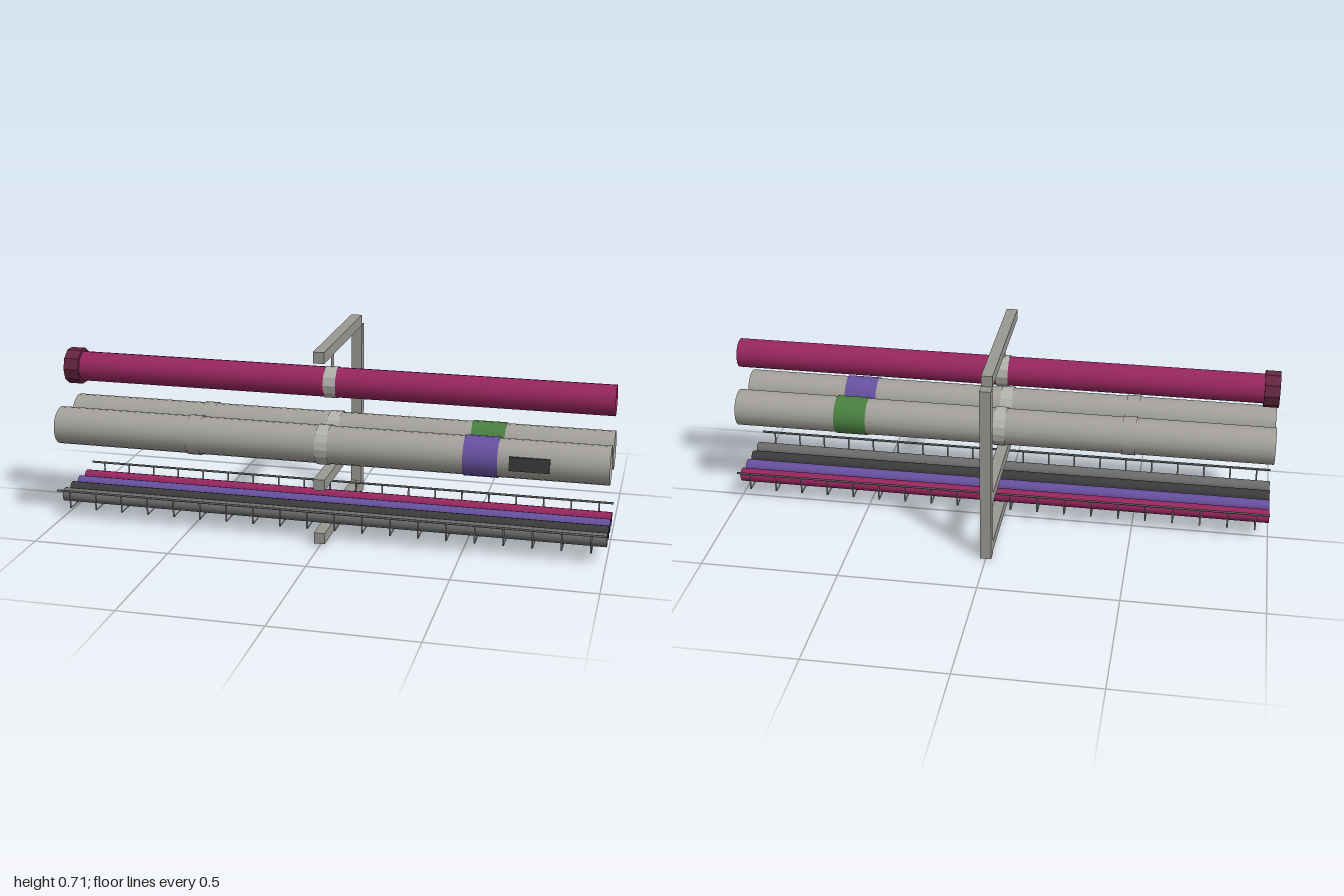
import * as THREE from 'three';

const mat = (name, color, extra = {}) => {
  const m = new THREE.MeshStandardMaterial({ color, side: THREE.DoubleSide, ...extra });
  m.name = name;
  return m;
};

export function createModel() {
  const root = new THREE.Group();
  root.name = 'pipeRack';

  const frameGrey = mat('frame grey', 0x9b9993);
  const pipeGrey = mat('pipe grey', 0xa3a19a);
  const strapGrey = mat('strap grey', 0xb4b2ad, { flatShading: true });
  const crimson = mat('crimson', 0x97265e);
  const maroon = mat('maroon', 0x652640, { flatShading: true });
  const purple = mat('purple', 0x6751a0);
  const green = mat('green', 0x4a8040);
  const charcoal = mat('charcoal', 0x3c3c3c);
  const wireGrey = mat('wire grey', 0x6c6c6c);

  const add = (name, geometry, material, x, y, z, parent = root) => {
    const mesh = new THREE.Mesh(geometry, material);
    mesh.name = name;
    mesh.position.set(x, y, z);
    parent.add(mesh);
    return mesh;
  };
  const box = (name, w, h, d, material, x, y, z) =>
    add(name, new THREE.BoxGeometry(w, h, d), material, x, y, z);
  // Open sleeve lying along x
  const sleeve = (name, r, length, material, x, y, z, sides = 20, open = true) =>
    add(name, new THREE.CylinderGeometry(r, r, length, sides, 1, open).rotateZ(Math.PI / 2), material, x, y, z);

  // Rack: one post and three arms
  box('post', 0.04, 0.67, 0.04, frameGrey, 0, 0.335, -0.29);
  [['lowerArm', 0.03], ['middleArm', 0.23], ['upperArm', 0.69]].forEach(([name, y]) =>
    box(name, 0.04, 0.04, 0.58, frameGrey, 0, y, 0.02));

  // Hanging crimson pipe with end cap, strap and rod
  const top = { y: 0.551, z: 0.11 };
  sleeve('crimsonPipe', 0.054, 2, crimson, 0, top.y, top.z);
  sleeve('endCap', 0.0665, 0.055, maroon, -0.9725, top.y, top.z, 10, false);
  sleeve('hangerStrap', 0.058, 0.045, strapGrey, 0, top.y, top.z, 12);
  add('hangerRod', new THREE.CylinderGeometry(0.006, 0.006, 0.066, 8), frameGrey, 0, 0.638, top.z);

  // Pair of large grey pipes, each with strap, coupling and colour band
  [['front', 0.222, purple], ['back', 0.049, green]].forEach(([side, z, color]) => {
    sleeve(side + 'Pipe', 0.068, 2, pipeGrey, 0, 0.353, z);
    sleeve(side + 'Strap', 0.072, 0.045, strapGrey, 0, 0.353, z, 16);
    sleeve(side + 'Coupling', 0.0715, 0.05, pipeGrey, -0.475, 0.353, z);
    sleeve(side + 'Band', 0.071, 0.12, color, 0.56, 0.353, z);
  });
  box('labelPlate', 0.14, 0.05, 0.006, charcoal, 0.73, 0.355, 0.289);

  // Four cables lying in the tray
  [['crimson', crimson], ['purple', purple], ['charcoal', charcoal], ['grey', wireGrey]].forEach(([name, m], i) =>
    sleeve(name + 'Cable', 0.025, 2, m, 0, 0.082, 0.01 + i * 0.07, 12));

  // Wire tray: two rails joined by thin U-shaped strips
  const tray = new THREE.Group();
  tray.name = 'wireTray';
  root.add(tray);
  const zBack = -0.05, zFront = 0.29, yTop = 0.12, yLow = 0.055, w = 0.006;
  for (const z of [zBack, zFront]) {
    add('trayRail', new THREE.CylinderGeometry(0.004, 0.004, 2, 6, 1, true).rotateZ(Math.PI / 2),
      wireGrey, 0, yTop, z, tray);
  }
  const sideGeo = new THREE.PlaneGeometry(w, yTop - yLow);
  const floorGeo = new THREE.PlaneGeometry(w, zFront - zBack).rotateX(-Math.PI / 2);
  for (let i = 0; i < 20; i++) {
    const x = -0.95 + i * 0.1;
    add('trayRungFloor', floorGeo, wireGrey, x, yLow, (zBack + zFront) / 2, tray);
    for (const z of [zBack, zFront]) add('trayRungSide', sideGeo, wireGrey, x, (yTop + yLow) / 2, z, tray);
  }

  return root;
}
